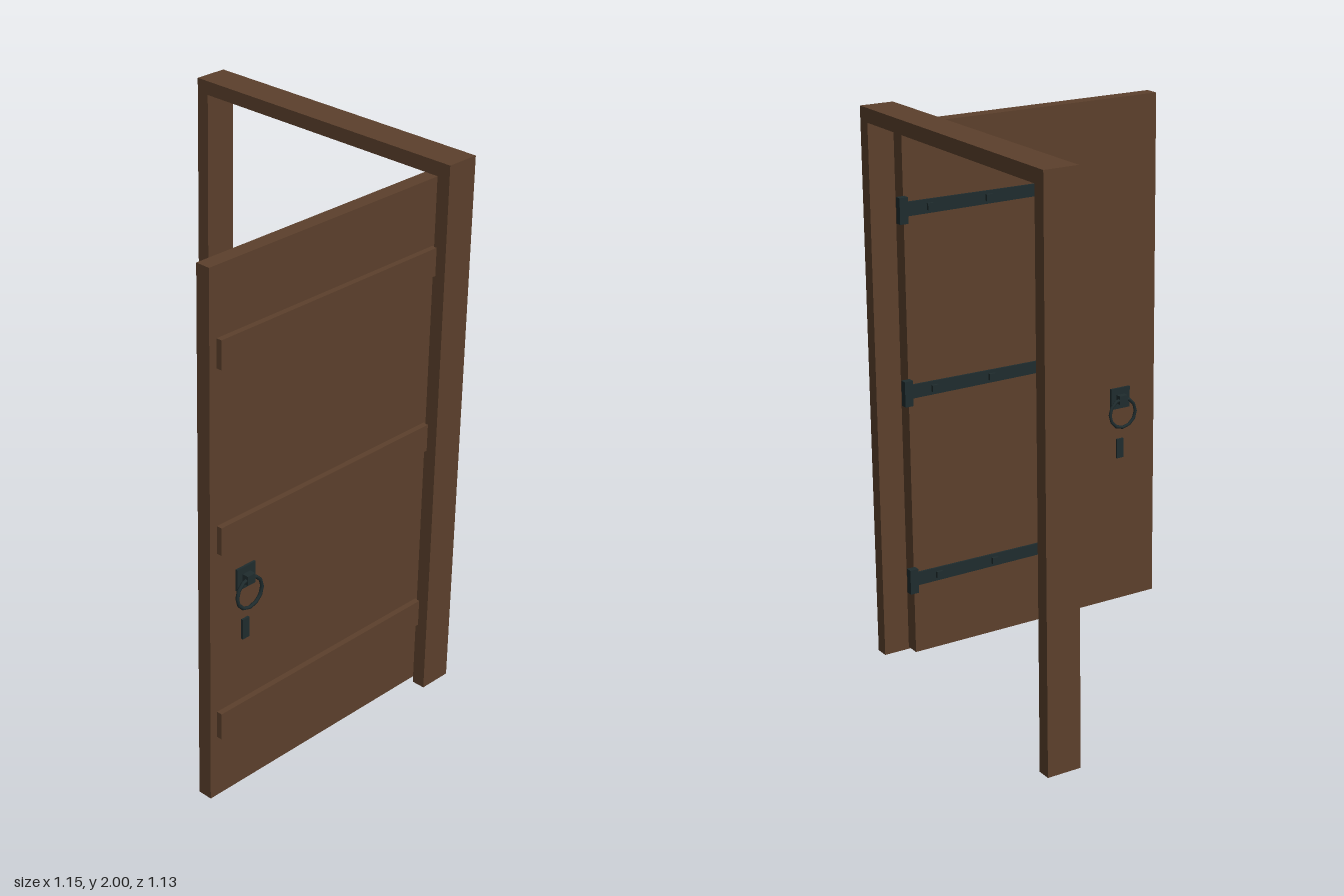
import * as THREE from 'three';

export function createModel() {
  const wood = new THREE.MeshStandardMaterial({ color: 0x5c402c });
  wood.name = 'brown wood';
  const iron = new THREE.MeshStandardMaterial({ color: 0x1f2c2e });
  iron.name = 'dark iron';

  const root = new THREE.Group();
  root.name = 'openDoor';

  const add = (parent, name, geometry, material, x = 0, y = 0, z = 0) => {
    const mesh = new THREE.Mesh(geometry, material);
    mesh.name = name;
    mesh.position.set(x, y, z);
    parent.add(mesh);
    return mesh;
  };
  // Box given by its lower and upper corners
  const block = (parent, name, material, [x0, y0, z0], [x1, y1, z1]) =>
    add(parent, name, new THREE.BoxGeometry(x1 - x0, y1 - y0, z1 - z0), material,
      (x0 + x1) / 2, (y0 + y1) / 2, (z0 + z1) / 2);
  const outline = (points) => new THREE.Shape(points.map(([x, y]) => new THREE.Vector2(x, y)));

  // Door frame: one arch-shaped piece open at the floor
  const W = 0.577, w = 0.527;
  const frame = outline([[-W, 0], [-w, 0], [-w, 1.95], [w, 1.95], [w, 0], [W, 0], [W, 2], [-W, 2]]);
  add(root, 'frame', new THREE.ExtrudeGeometry(frame, { depth: 0.125, bevelEnabled: false }),
    wood, 0, 0, -0.565);

  // Door leaf, swung open to stand at right angles to the frame
  const door = new THREE.Group();
  door.name = 'door';
  root.add(door);
  const inner = 0.463, outer = 0.517, hingeZ = -0.473, freeZ = 0.563;
  block(door, 'leaf', wood, [inner, 0.013, hingeZ], [outer, 1.943, freeZ]);

  // Strap outline: flat bar with an arrow-shaped tip, running along +x
  const strap = outline([[0, -0.025], [0.54, -0.022], [0.54, -0.038], [0.635, 0],
    [0.54, 0.038], [0.54, 0.022], [0, 0.025]]);

  for (const y of [0.3, 1.005, 1.655]) {
    // Cross batten on the outer face
    block(door, 'batten', wood, [outer, y - 0.05, hingeZ + 0.03], [0.538, y + 0.05, freeZ - 0.03]);

    // Strap hinge on the inner face
    const hinge = new THREE.Group();
    hinge.name = 'strapHinge';
    hinge.position.y = y;
    door.add(hinge);
    const bar = add(hinge, 'strap',
      new THREE.ExtrudeGeometry(strap, { depth: 0.008, bevelEnabled: false }), iron, inner, 0, -0.47);
    bar.rotation.y = -Math.PI / 2;
    block(hinge, 'knuckle', iron, [0.438, -0.046, -0.5], [inner, 0.046, -0.468]);
    for (const z of [-0.375, -0.143, 0.089])
      block(hinge, 'bolt', iron, [0.445, -0.012, z - 0.012], [0.457, 0.012, z + 0.012]);
  }

  // Ring handle and keyhole plate on both faces
  for (const side of [-1, 1]) {
    const handle = new THREE.Group();
    handle.name = side < 0 ? 'innerHandle' : 'outerHandle';
    handle.position.set(side < 0 ? inner : outer, 0, 0.409);
    if (side < 0) handle.rotation.y = Math.PI; // local +x points away from the leaf
    door.add(handle);
    block(handle, 'plate', iron, [0, 0.78, -0.041], [0.008, 0.86, 0.041]);
    block(handle, 'boss', iron, [0.008, 0.802, -0.017], [0.031, 0.835, 0.017]);
    const ring = add(handle, 'ring', new THREE.TorusGeometry(0.056, 0.0065, 6, 12), iron, 0.023, 0.766, 0);
    ring.rotation.y = Math.PI / 2;
    block(handle, 'keyholePlate', iron, [0, 0.585, -0.015], [0.008, 0.66, 0.015]);
  }

  return root;
}
